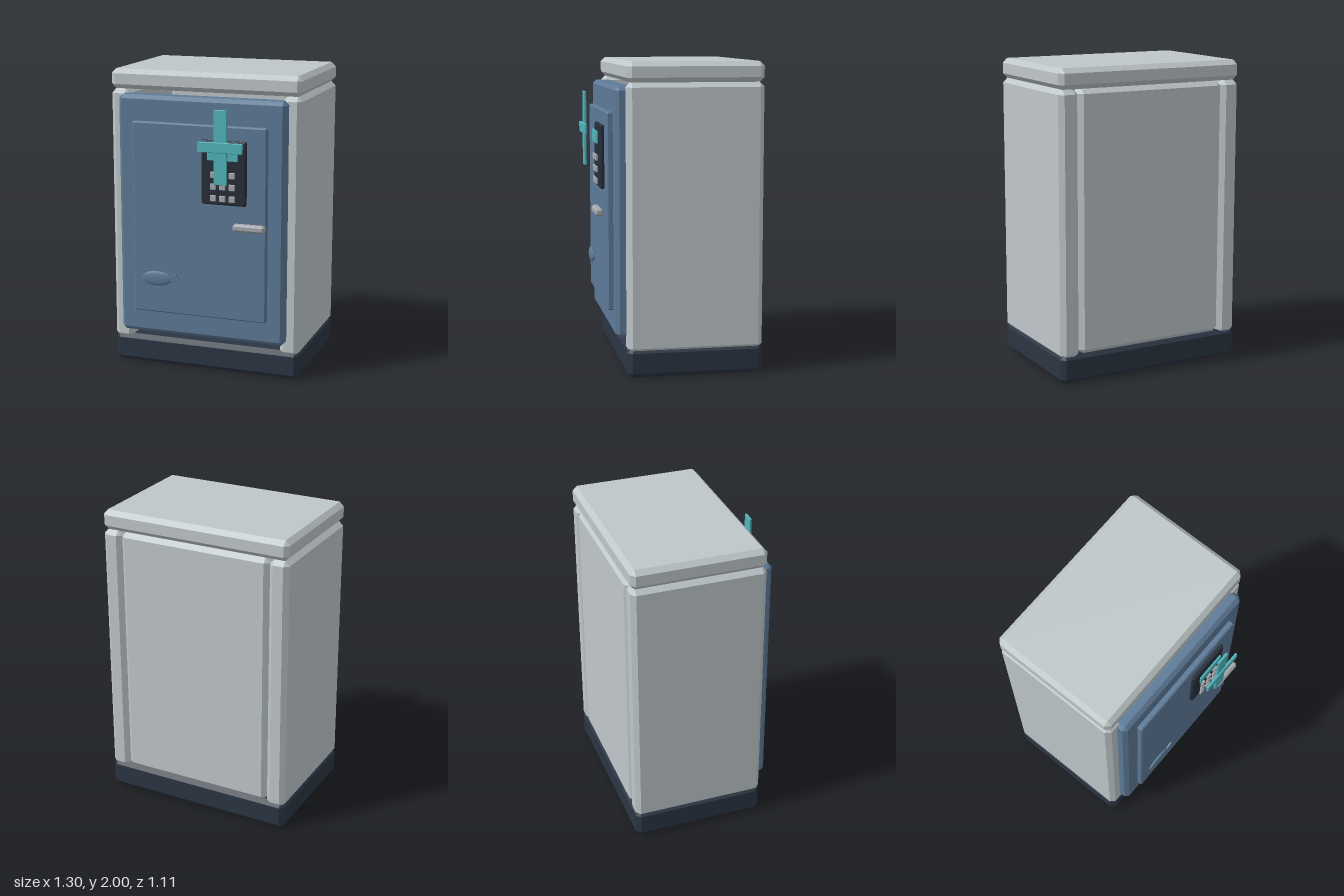
import * as THREE from 'three';
import { ConvexGeometry } from 'three/addons/geometries/ConvexGeometry.js';

const mat = (color) => new THREE.MeshStandardMaterial({ color });

// Box given by its limits, with every edge bevelled by c
function bevelBox(x0, x1, y0, y1, z0, z1, c) {
  const h = [(x1 - x0) / 2, (y1 - y0) / 2, (z1 - z0) / 2];
  const points = [];
  for (const sx of [-1, 1]) for (const sy of [-1, 1]) for (const sz of [-1, 1]) {
    for (let axis = 0; axis < 3; axis++) {
      const p = h.map((v, i) => (i === axis ? v : v - c));
      points.push(new THREE.Vector3(p[0] * sx, p[1] * sy, p[2] * sz));
    }
  }
  const geometry = new ConvexGeometry(points);
  geometry.translate((x0 + x1) / 2, (y0 + y1) / 2, (z0 + z1) / 2);
  return geometry;
}

export function createModel() {
  const model = new THREE.Group();
  model.name = 'safe';
  const shell = mat(0xbfc7ca), dark = mat(0x2b3543), blue = mat(0x5d7a97);
  const black = mat(0x262d39), teal = mat(0x4fb5bb), metal = mat(0xa4a8ac);

  const add = (name, geometry, material, parent = model) => {
    const mesh = new THREE.Mesh(geometry, material);
    mesh.name = name;
    parent.add(mesh);
    return mesh;
  };

  // Cabinet shell
  const back = -0.555, front = 0.32;
  add('base', bevelBox(-0.65, 0.65, 0, 0.19, back, front, 0.03), dark);
  add('topSlab', bevelBox(-0.65, 0.65, 1.87, 2, back, front, 0.03), shell);
  add('leftWall', bevelBox(0.52, 0.65, 0.16, 1.87, back, front, 0.03), shell);
  add('rightWall', bevelBox(-0.65, -0.52, 0.16, 1.87, back, front, 0.03), shell);
  add('backWall', bevelBox(-0.52, 0.52, 0.18, 1.87, back, back + 0.13, 0.03), shell);

  // Door with its raised panel
  add('door', bevelBox(-0.57, 0.57, 0.245, 1.845, 0.26, 0.385, 0.025), blue);
  add('doorPanel', bevelBox(-0.458, 0.458, 0.405, 1.68, 0.38, 0.423, 0.008), blue);
  add('handle', bevelBox(0.255, 0.467, 1.02, 1.067, 0.45, 0.5, 0.012), metal);

  // Keypad: plate, display and a 3 x 3 grid of buttons
  const keypad = new THREE.Group();
  keypad.name = 'keypad';
  model.add(keypad);
  add('keypadPlate', bevelBox(0.03, 0.33, 1.175, 1.59, 0.422, 0.45, 0.008), black, keypad);
  add('display', bevelBox(0.077, 0.28, 1.465, 1.547, 0.457, 0.47, 0.003), teal, keypad);
  for (let row = 0; row < 3; row++) {
    for (let col = 0; col < 3; col++) {
      const x = 0.115 + col * 0.0625, y = 1.22 + row * 0.076;
      add('button', bevelBox(x - 0.02, x + 0.02, y - 0.02, y + 0.02, 0.456, 0.47, 0.003), metal, keypad);
    }
  }

  // Crossed strips floating in front of the keypad
  add('verticalStrip', bevelBox(0.145, 0.233, 1.325, 1.8, 0.525, 0.541, 0.003), teal);
  add('crossStrip', bevelBox(0.04, 0.338, 1.53, 1.597, 0.535, 0.551, 0.003), teal);

  // Fish ornament: flattened body and tilted tail
  const fish = new THREE.Group();
  fish.name = 'fishOrnament';
  model.add(fish);
  const body = add('fishBody', new THREE.SphereGeometry(1, 24, 16), blue, fish);
  body.scale.set(0.103, 0.05, 0.015);
  body.position.set(-0.288, 0.643, 0.437);
  const tail = add('fishTail', bevelBox(-0.03, 0.03, -0.022, 0.022, -0.006, 0.006, 0.002), blue, fish);
  tail.position.set(-0.168, 0.653, 0.436);
  tail.rotation.z = 0.5;

  return model;
}
